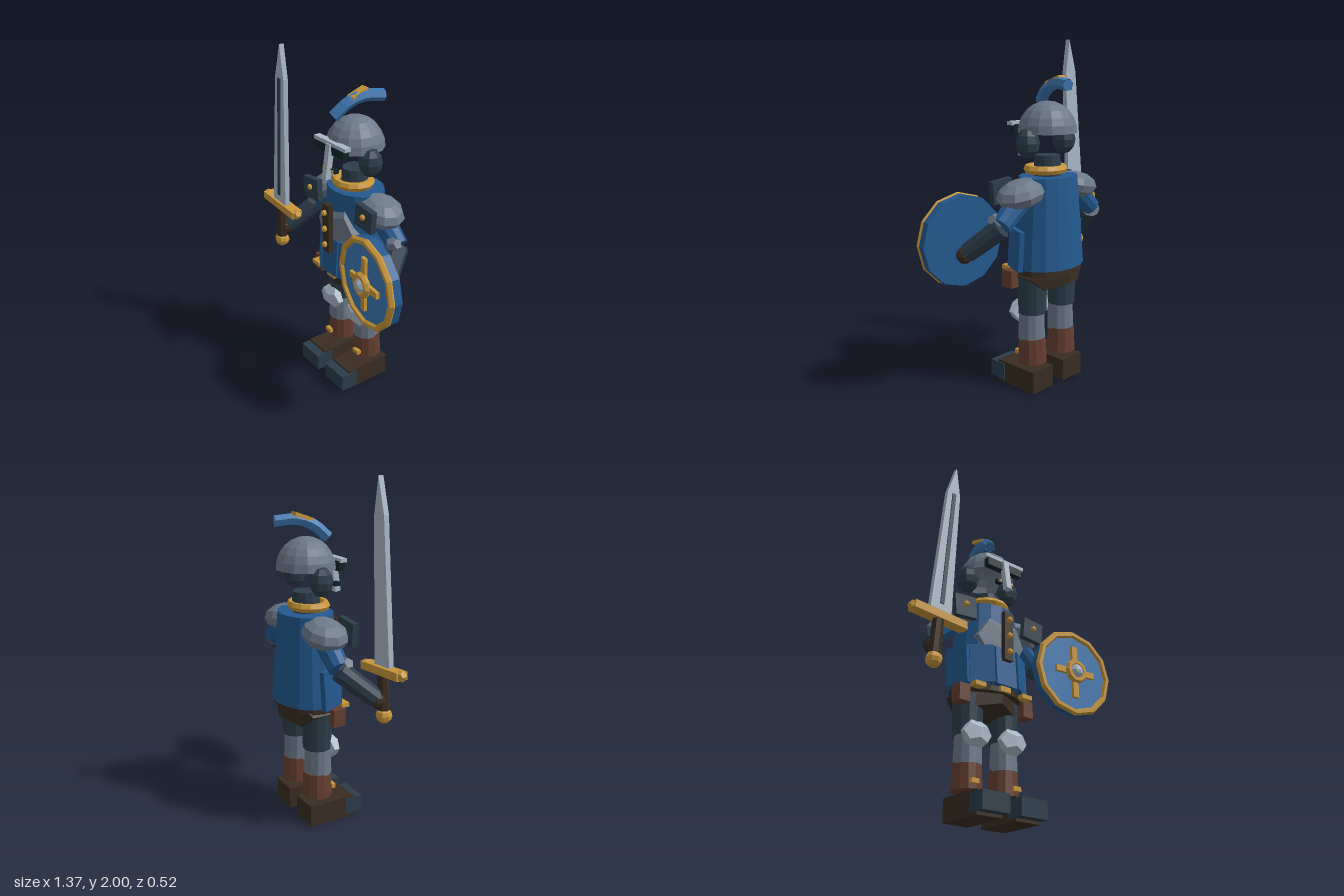
import * as THREE from 'three';

const mat = (name, color) => {
  const m = new THREE.MeshStandardMaterial({ color, flatShading: true, side: THREE.DoubleSide });
  m.name = name;
  return m;
};
const M = {
  bright: mat('bright steel', 0xa9b8c6),
  steel: mat('steel', 0x6c7989),
  slate: mat('slate', 0x2c3d4a),
  blue: mat('deep blue', 0x23598f),
  sky: mat('light blue', 0x3d78b2),
  gold: mat('gold', 0xc8963a),
  brown: mat('brown leather', 0x663f30),
  dark: mat('dark leather', 0x3a2d22),
  black: mat('visor black', 0x0e2329),
};
const CX = -0.03; // body mid-line
const CZ = -0.075; // body depth centre

export function createModel() {
  const root = new THREE.Group();
  root.name = 'knight';

  const add = (name, geo, m, pos, { rot = [0, 0, 0], scale = [1, 1, 1], parent = root } = {}) => {
    const mesh = new THREE.Mesh(geo, m);
    mesh.name = name;
    mesh.position.set(...pos);
    mesh.rotation.set(...rot);
    mesh.scale.set(...scale);
    parent.add(mesh);
    return mesh;
  };
  const box = (name, m, size, pos, opt) => add(name, new THREE.BoxGeometry(...size), m, pos, opt);
  const cyl = (name, m, rTop, rBottom, h, n, pos, opt) =>
    add(name, new THREE.CylinderGeometry(rTop, rBottom, h, n), m, pos, opt);
  const ball = (name, m, r, pos, opt) => add(name, new THREE.SphereGeometry(r, 8, 6), m, pos, opt);
  const gem = (name, m, scale, pos) => add(name, new THREE.DodecahedronGeometry(1), m, pos, { scale });
  // Tapered limb running from a to b
  const limb = (name, m, a, b, rA, rB) => {
    const A = new THREE.Vector3(...a), B = new THREE.Vector3(...b), d = B.clone().sub(A);
    const mesh = cyl(name, m, rB, rA, d.length(), 10, A.clone().add(B).multiplyScalar(0.5).toArray());
    mesh.quaternion.setFromUnitVectors(new THREE.Vector3(0, 1, 0), d.normalize());
  };

  // Torso and hips
  cyl('torso', M.blue, 0.185, 0.23, 0.515, 16, [CX, 0.9875, CZ], { scale: [1, 1, 0.81] });
  gem('hips', M.dark, [0.235, 0.12, 0.175], [CX, 0.685, -0.085]);
  cyl('belt', M.dark, 0.222, 0.222, 0.035, 16, [CX, 0.715, CZ], { scale: [1, 1, 0.78] });
  box('beltBuckle', M.gold, [0.07, 0.03, 0.02], [CX, 0.715, 0.1]);
  gem('breastplate', M.steel, [0.177, 0.17, 0.07], [CX, 1.02, 0.045]);
  box('placket', M.dark, [0.062, 0.3, 0.03], [CX, 1.03, 0.125]);
  for (const y of [1.13, 1.03, 0.93]) ball('placketStud', M.gold, 0.018, [CX, y, 0.147]);

  // Skirt panels wrapped round the front and sides
  for (const deg of [-78, -36, 0, 36, 78]) {
    const a = THREE.MathUtils.degToRad(deg);
    box('skirtPanel', M.blue, [0.14, 0.23, 0.03],
      [CX + Math.sin(a) * 0.228, 0.845, CZ + Math.cos(a) * 0.175],
      { rot: [-0.07, a * 0.9, 0, 'YXZ'].slice(0, 3) });
  }

  // Neck and collar
  cyl('neck', M.slate, 0.075, 0.082, 0.13, 12, [CX, 1.295, -0.07]);
  add('collar', new THREE.TorusGeometry(0.108, 0.026, 6, 14), M.gold, [CX, 1.28, -0.055],
    { rot: [Math.PI / 2, 0, 0], scale: [1, 0.9, 1] });

  // Paired parts
  for (const s of [-1, 1]) {
    const x = (d) => CX + s * d;
    // Legs
    box('bootSole', M.dark, [0.165, 0.13, 0.29], [x(0.127), 0.065, -0.015]);
    box('bootToe', M.slate, [0.178, 0.1, 0.11], [x(0.127), 0.067, 0.13]);
    cyl('bootCuff', M.brown, 0.08, 0.087, 0.15, 12, [x(0.125), 0.235, -0.07]);
    box('cuffBuckle', M.gold, [0.05, 0.026, 0.025], [x(0.143), 0.2, 0.02]);
    cyl('shin', M.steel, 0.074, 0.08, 0.2, 12, [x(0.125), 0.4, -0.065]);
    cyl('thigh', M.slate, 0.09, 0.082, 0.23, 12, [x(0.125), 0.575, -0.07]);
    gem('kneeGuard', M.bright, [0.1, 0.078, 0.043], [x(0.125), 0.46, 0.01]);
    // Belt pouches
    box('pouch', M.brown, [0.07, 0.1, 0.075], [x(0.225), 0.67, 0]);
    box('pouchClasp', M.gold, [0.07, 0.025, 0.05], [x(0.165), 0.713, 0.075]);
    // Arms
    const shoulder = [x(0.21), 1.15, -0.08], elbow = [x(0.375), 1.01, -0.08], wrist = [x(0.475), 0.85, 0.085];
    limb('upperArm', M.blue, shoulder, elbow, 0.07, 0.058);
    limb('forearm', M.slate, [elbow[0], elbow[1] - 0.01, elbow[2]], wrist, 0.06, 0.054);
    gem('elbowGuard', M.steel, [0.05, 0.048, 0.045], [x(0.38), 1.03, -0.045]);
    ball('hand', M.dark, 0.048, [x(0.482), 0.835, 0.1]);
    // Shoulder armour
    add('pauldron', new THREE.SphereGeometry(1, 10, 6), M.steel, [x(0.22), 1.165, -0.08],
      { scale: [0.155, 0.08, 0.125], rot: [0, 0, -s * 0.2] });
    const plate = new THREE.Group();
    plate.name = 'shoulderPlate';
    plate.position.set(x(0.25), 1.17, 0.05);
    plate.rotation.z = -s * 0.1;
    root.add(plate);
    box('shoulderPlatePanel', M.slate, [0.145, 0.13, 0.035], [0, 0, 0], { parent: plate });
    ball('shoulderStud', M.gold, 0.018, [0, 0.01, 0.02], { parent: plate });
    // Ear guards and small face clasps
    ball('earGuard', M.slate, 1, [x(0.15), 1.435, -0.06], { scale: [0.068, 0.085, 0.068] });
    box('faceClasp', M.black, [0.036, 0.024, 0.03], [x(0.041), 1.388, 0.1]);
    box('faceClaspCentre', M.gold, [0.014, 0.016, 0.008], [x(0.041), 1.388, 0.117]);
  }

  // Helmet
  add('helmetDome', new THREE.SphereGeometry(0.168, 14, 6, 0, Math.PI * 2, 0, Math.PI / 2), M.steel,
    [CX, 1.485, -0.07], { scale: [1, 1.05, 1] });
  box('visorSlit', M.black, [0.25, 0.055, 0.04], [CX, 1.502, 0.087]);
  box('visorBrow', M.bright, [0.285, 0.022, 0.04], [CX, 1.535, 0.088]);
  box('noseGuard', M.bright, [0.037, 0.2, 0.035], [CX, 1.435, 0.115], { rot: [-0.15, 0, 0] });

  // Plume
  const plume = new THREE.CatmullRomCurve3([
    [-0.088, 1.655, 0.035], [-0.06, 1.725, -0.04], [-0.035, 1.757, -0.13], [0, 1.75, -0.245],
  ].map((p) => new THREE.Vector3(...p)));
  add('plume', new THREE.TubeGeometry(plume, 8, 0.034, 6), M.sky, [0, 0, 0]);
  for (const t of [0, 1]) {
    const cap = add('plumeEnd', new THREE.CircleGeometry(0.032, 6), M.sky, plume.getPoint(t).toArray());
    cap.lookAt(plume.getPoint(t).add(plume.getTangent(t).multiplyScalar(t ? 1 : -1)));
  }
  box('plumeBand', M.gold, [0.055, 0.02, 0.11], [-0.052, 1.773, -0.105], { rot: [0.35, 0, 0] });

  // Sword
  const sword = new THREE.Group();
  sword.name = 'sword';
  sword.position.set(-0.507, 1.0, 0.13);
  sword.rotation.z = -0.077;
  root.add(sword);
  const on = { parent: sword };
  const blade = new THREE.Shape([[-0.068, 0], [0.068, 0], [0.043, 0.81], [0, 1.003], [-0.043, 0.81]]
    .map((p) => new THREE.Vector2(...p)));
  add('blade', new THREE.ExtrudeGeometry(blade, { depth: 0.03, bevelEnabled: false }), M.bright, [0, 0, -0.01], on);
  box('bladeGroove', M.slate, [0.024, 0.74, 0.008], [0, 0.44, 0.022], on);
  box('guard', M.gold, [0.33, 0.045, 0.068], [0, 0, 0], on);
  for (const s of [-1, 1]) add('guardTip', new THREE.DodecahedronGeometry(0.032), M.gold, [s * 0.157, 0, 0], on);
  cyl('grip', M.dark, 0.032, 0.036, 0.22, 8, [0, -0.11, 0], on);
  ball('pommel', M.gold, 0.046, [0, -0.252, 0], on);

  // Shield
  const shield = new THREE.Group();
  shield.name = 'shield';
  shield.position.set(0.418, 0.905, 0.165);
  shield.rotation.y = -0.115;
  root.add(shield);
  const sh = { parent: shield };
  const flat = { parent: shield, rot: [Math.PI / 2, 0, 0] };
  cyl('shieldBody', M.blue, 0.26, 0.26, 0.055, 12, [0, 0, 0], flat);
  cyl('shieldFace', M.sky, 0.24, 0.24, 0.008, 12, [0, 0, 0.029], flat);
  add('shieldRim', new THREE.TorusGeometry(0.246, 0.021, 6, 12), M.gold, [0, 0, 0.03], sh);
  box('shieldBarUpright', M.gold, [0.037, 0.32, 0.025], [0, 0, 0.04], sh);
  box('shieldBarAcross', M.gold, [0.27, 0.037, 0.025], [0, 0, 0.04], sh);
  add('bossRing', new THREE.TorusGeometry(0.055, 0.02, 6, 10), M.gold, [0, 0, 0.058], sh);
  ball('boss', M.bright, 0.046, [0, 0, 0.055], { parent: shield, rot: [Math.PI / 2, 0, 0], scale: [1, 0.85, 1] });

  return root;
}
